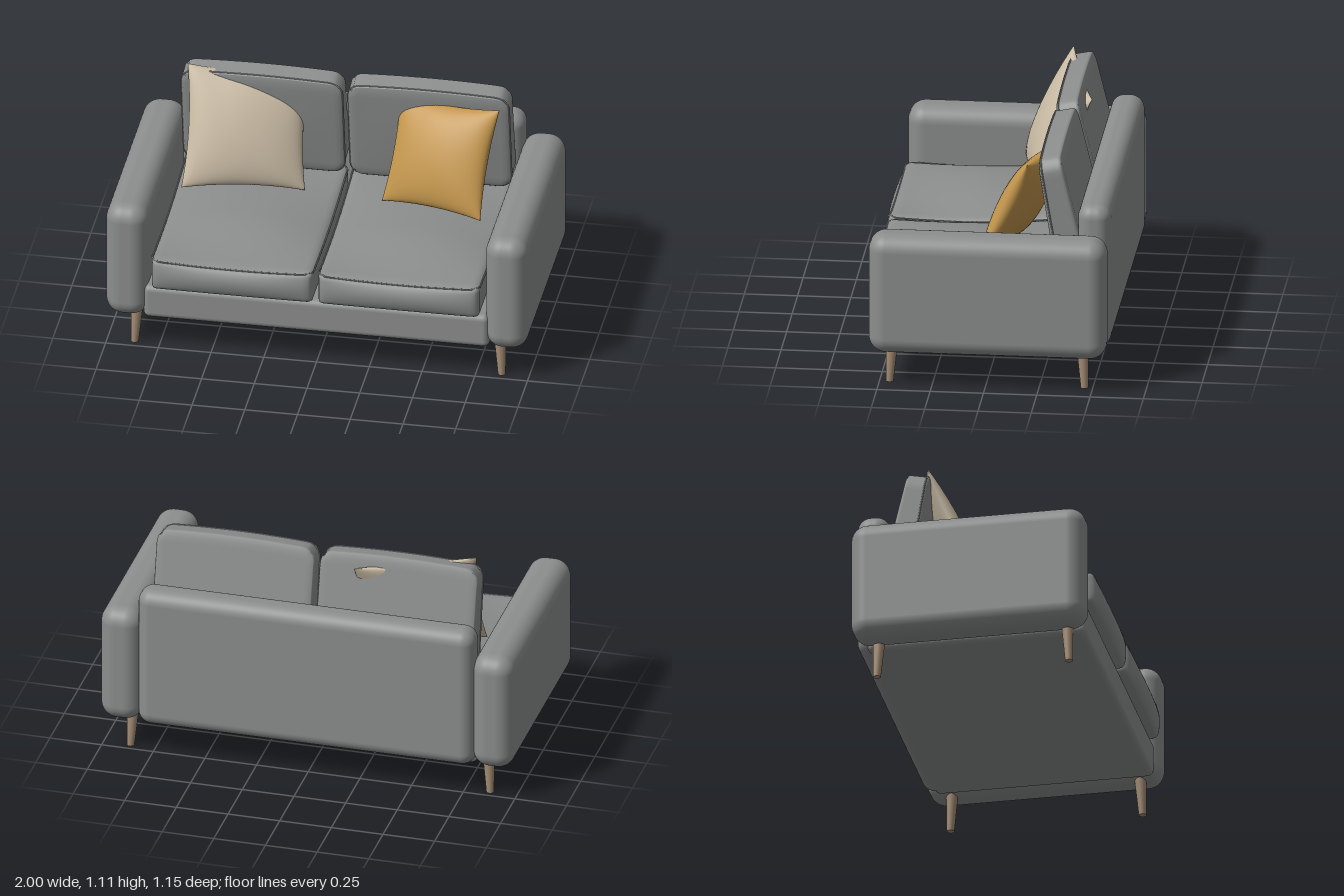
import * as THREE from 'three';
import { mergeVertices, mergeGeometries } from 'three/addons/utils/BufferGeometryUtils.js';
import { RoundedBoxGeometry } from 'three/addons/geometries/RoundedBoxGeometry.js';

const mat = (name, color) => {
  const m = new THREE.MeshStandardMaterial({ color });
  m.name = name;
  return m;
};

function add(parent, name, geometry, material, x = 0, y = 0, z = 0) {
  const mesh = new THREE.Mesh(geometry, material);
  mesh.name = name;
  mesh.position.set(x, y, z);
  parent.add(mesh);
  return mesh;
}

// Rebuild smooth normals after moving vertices
function smooth(geometry) {
  geometry.deleteAttribute('uv');
  geometry.deleteAttribute('normal');
  const g = mergeVertices(geometry, 1e-5);
  g.computeVertexNormals();
  return g;
}

// Finely divided box with rounded edges, then a swelling rule
function cushion(w, h, d, r, swell) {
  const g = new THREE.BoxGeometry(w, h, d, 36, 18, 36);
  const p = g.attributes.position;
  const v = new THREE.Vector3(), core = new THREE.Vector3();
  const lim = new THREE.Vector3(w / 2 - r, h / 2 - r, d / 2 - r);
  const low = lim.clone().negate();
  const fall = t => Math.max(0, 1 - (2 * t) ** 2);
  for (let i = 0; i < p.count; i++) {
    v.fromBufferAttribute(p, i);
    core.copy(v).clamp(low, lim);
    v.sub(core).setLength(r).add(core);
    swell(v, fall(v.x / w), fall(v.y / h));
    p.setXYZ(i, v.x, v.y, v.z);
  }
  return smooth(g);
}

// Thin cord round a rounded rectangle; place maps 2D points into 3D
function piping(w, h, r, place) {
  const s = new THREE.Shape();
  const x = w / 2, y = h / 2;
  s.moveTo(-x + r, -y);
  s.lineTo(x - r, -y).absarc(x - r, -y + r, r, -Math.PI / 2, 0);
  s.lineTo(x, y - r).absarc(x - r, y - r, r, 0, Math.PI / 2);
  s.lineTo(-x + r, y).absarc(-x + r, y - r, r, Math.PI / 2, Math.PI);
  s.lineTo(-x, -y + r).absarc(-x + r, -y + r, r, Math.PI, Math.PI * 1.5);
  const pts = s.getSpacedPoints(64).slice(0, -1).map(place);
  return new THREE.TubeGeometry(new THREE.CatmullRomCurve3(pts, true), 128, 0.004, 6, true);
}

// Height added to the seat top: a soft crown, side seams that dip, a sagging front edge
function seatLift(x, z) {
  const t = THREE.MathUtils.clamp((0.485 - z) / 0.97, 0, 1);
  const fx = Math.max(0, 1 - (x / 0.383) ** 2);
  const middle = 0.045 * THREE.MathUtils.smoothstep(t, 0, 0.45);
  const edge = 0.045 * t * t - 0.018 * Math.sin(Math.PI * t);
  return THREE.MathUtils.lerp(edge, middle, fx) - 0.012 * fx * (1 - t) ** 4;
}

// Pillow spanned by four corners, plump in the middle, pinched at its edges
function pillow(bl, br, tl, tr, front, rear) {
  const [BL, BR, TL, TR] = [bl, br, tl, tr].map(c => new THREE.Vector3(...c));
  const normal = BR.clone().sub(BL).cross(TL.clone().sub(BL)).normalize();
  const sheets = [front, -rear].map(depth => {
    const g = new THREE.PlaneGeometry(2, 2, 28, 28);
    if (depth < 0) g.rotateY(Math.PI);
    const p = g.attributes.position;
    for (let i = 0; i < p.count; i++) {
      const u = Math.sin(p.getX(i) * Math.PI / 2), v = Math.sin(p.getY(i) * Math.PI / 2);
      const fu = Math.max(0, 1 - u * u), fv = Math.max(0, 1 - v * v);
      const a = (u * (1 - 0.07 * fv) + 1) / 2, b = (v * (1 - 0.07 * fu) + 1) / 2;
      const crease = 1 + 0.07 * Math.sin(7 * u + 3 * v) * (u * u + v * v) / 2;
      const pos = BL.clone().lerp(BR, a).lerp(TL.clone().lerp(TR, a), b)
        .addScaledVector(normal, depth * crease * Math.pow(fu * fv, 0.48));
      p.setXYZ(i, pos.x, pos.y, pos.z);
    }
    return g;
  });
  return smooth(mergeGeometries(sheets));
}

export function createModel() {
  const sofa = new THREE.Group();
  sofa.name = 'sofa';
  const fabric = mat('grey fabric', 0x8c8e8d);
  const wood = mat('leg wood', 0xa38b74);
  const beige = mat('beige fabric', 0xcabca5);
  const mustard = mat('mustard fabric', 0xc3964d);

  // Frame
  add(sofa, 'base', new RoundedBoxGeometry(1.64, 0.17, 1.04, 5, 0.03), fabric, 0, 0.25, 0);
  add(sofa, 'backrest', new RoundedBoxGeometry(1.63, 0.705, 0.155, 8, 0.065), fabric, 0, 0.518, -0.497);

  for (const s of [-1, 1]) {
    const side = s > 0 ? 'left' : 'right';
    add(sofa, side + 'Arm', new RoundedBoxGeometry(0.2, 0.585, 1.115, 8, 0.08), fabric, s * 0.9, 0.458, -0.0125);

    // Tapered legs, leaning slightly outward
    for (const f of [-1, 1]) {
      const g = new THREE.CylinderGeometry(0.029, 0.018, 0.2, 20);
      const p = g.attributes.position;
      for (let i = 0; i < p.count; i++) {
        const low = 0.5 - p.getY(i) / 0.2;
        p.setX(i, p.getX(i) + s * 0.01 * low);
        p.setZ(i, p.getZ(i) + f * 0.01 * low);
      }
      g.computeVertexNormals();
      add(sofa, side + (f > 0 ? 'FrontLeg' : 'BackLeg'), g, wood, s * 0.86, 0.1, f > 0 ? 0.443 : -0.451);
    }

    // Seat cushion with a soft top and a bulging front
    const seat = new THREE.Group();
    seat.name = side + 'SeatCushion';
    seat.position.set(s * 0.395, 0.4175, 0.06);
    sofa.add(seat);
    add(seat, 'seatPad', cushion(0.765, 0.165, 0.97, 0.025, (v, fx, fy) => {
      if (v.y > 0) v.y += seatLift(v.x, v.z) * Math.min(1, v.y / 0.06);
      if (v.z > 0.4) v.z += 0.03 * Math.pow(fx, 0.4) * fy;
    }), fabric);
    add(seat, 'seatPiping', piping(0.765, 0.97, 0.04, q =>
      new THREE.Vector3(q.x, 0.074 + seatLift(q.x, q.y), q.y)), fabric);

    // Back cushion tipped forward, thinner toward the top
    const back = new THREE.Group();
    back.name = side + 'BackCushion';
    back.position.set(s * 0.395, 0.822, -0.336);
    back.rotation.x = 0.2;
    sofa.add(back);
    const crown = x => 0.013 * (1 - (x / 0.385) ** 2);
    const taper = y => 1 - 0.6 * y;
    add(back, 'backPad', cushion(0.765, 0.525, 0.132, 0.02, (v, fx, fy) => {
      // Round the face outline as well as the edges
      const cx = Math.abs(v.x) - 0.3225, cy = Math.abs(v.y) - 0.2025;
      if (cx > 0 && cy > 0) {
        const k = Math.max(cx, cy) / Math.hypot(cx, cy);
        v.x = Math.sign(v.x) * (0.3225 + cx * k);
        v.y = Math.sign(v.y) * (0.2025 + cy * k);
      }
      v.z *= taper(v.y);
      if (v.y > 0.15) v.y += crown(v.x);
      if (v.z > 0) v.z += 0.01 * fx * fy;
    }), fabric);
    add(back, 'backPiping', piping(0.765, 0.525, 0.06, q =>
      new THREE.Vector3(q.x, q.y + (q.y > 0.15 ? crown(q.x) : 0), 0.05 * taper(q.y))), fabric);
  }

  // Scatter pillows
  add(sofa, 'beigePillow', pillow([-0.735, 0.57, -0.02], [-0.17, 0.545, -0.14],
    [-0.745, 1.11, -0.245], [-0.19, 1.045, -0.388], 0.085, 0.05), beige);
  add(sofa, 'mustardPillow', pillow([0.2, 0.545, -0.11], [0.695, 0.575, 0.05],
    [0.255, 1.01, -0.31], [0.745, 1.045, -0.18], 0.085, 0.085), mustard);

  return sofa;
}
